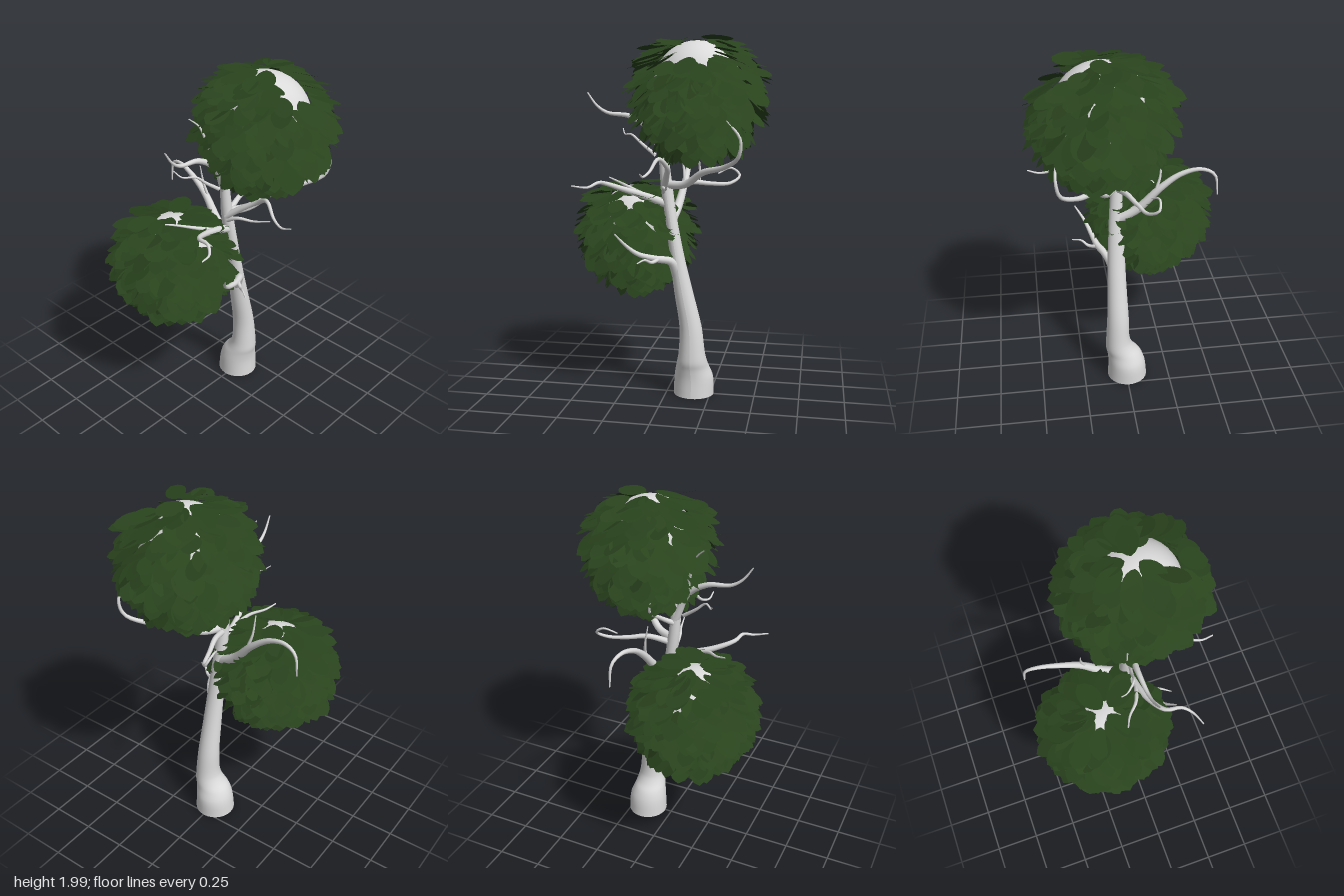
import * as THREE from 'three';
import { mergeGeometries } from 'three/addons/utils/BufferGeometryUtils.js';

const V = (x, y, z) => new THREE.Vector3(x, y, z);

export function createModel() {
  const tree = new THREE.Group();
  const bark = new THREE.MeshStandardMaterial({ color: 0xdadada, side: THREE.DoubleSide });
  bark.name = 'pale bark';
  const green = new THREE.MeshStandardMaterial({ color: 0x29431d, side: THREE.DoubleSide });
  green.name = 'leaf green';

  const add = (name, geometry, material) => {
    const mesh = new THREE.Mesh(geometry, material);
    mesh.name = name;
    tree.add(mesh);
    return mesh;
  };

  let seed = 7;
  const rand = () => (seed = (seed * 16807) % 2147483647) / 2147483647;
  const jitter = (a) => (rand() - 0.5) * 2 * a;

  // Leaning trunk with a swollen foot: y, xMin, xMax, zMin, zMax
  const levels = [
    [0, 0.04, 0.27, -0.122, 0.11], [0.1, 0.045, 0.265, -0.11, 0.105],
    [0.16, 0.055, 0.245, -0.085, 0.11], [0.2, 0.065, 0.235, -0.05, 0.118],
    [0.25, 0.075, 0.225, -0.025, 0.117], [0.4, 0.08, 0.205, -0.018, 0.108],
    [0.6, 0.05, 0.155, -0.01, 0.1], [0.8, 0.025, 0.105, -0.005, 0.092],
    [1.0, 0, 0.065, 0, 0.08], [1.2, -0.03, 0.035, 0, 0.065], [1.42, -0.043, 0.005, 0.01, 0.055],
  ];
  const centres = new THREE.CatmullRomCurve3(levels.map(([y, a, b, c, d]) => V((a + b) / 2, y, (c + d) / 2)));
  const radii = new THREE.CatmullRomCurve3(levels.map(([y, a, b, c, d]) => V((b - a) / 2, y, (d - c) / 2)));
  const trunk = new THREE.CylinderGeometry(1, 1, 1, 28, 40);
  const tp = trunk.attributes.position;
  for (let i = 0; i < tp.count; i++) {
    const t = tp.getY(i) + 0.5;
    const c = centres.getPoint(t), r = radii.getPoint(t);
    tp.setXYZ(i, c.x + tp.getX(i) * r.x, c.y, c.z + tp.getZ(i) * r.z);
  }
  trunk.computeVertexNormals();
  add('trunk', trunk, bark);

  // Tapered tube along a smooth path
  const branch = (name, r0, r1, points) => {
    const curve = new THREE.CatmullRomCurve3(points.map((p) => V(...p)));
    const segs = 28, sides = 10;
    const g = new THREE.TubeGeometry(curve, segs, 1, sides);
    const p = g.attributes.position, v = V(0, 0, 0);
    for (let i = 0; i < p.count; i++) {
      const t = Math.floor(i / (sides + 1)) / segs;
      const c = curve.getPointAt(t);
      v.fromBufferAttribute(p, i).sub(c).multiplyScalar(r0 + (r1 - r0) * t).add(c);
      p.setXYZ(i, v.x, v.y, v.z);
    }
    add(name, g, bark);
  };

  branch('upperCrownBranch', 0.027, 0.015, [[-0.018, 1.38, 0.033], [0.0, 1.47, 0.04], [0.06, 1.55, 0.07], [0.13, 1.62, 0.1]]);
  branch('lowerCrownBranch', 0.028, 0.015, [[0.06, 0.8, 0.045], [-0.02, 0.85, -0.04], [-0.1, 0.88, -0.1], [-0.16, 0.9, -0.14]]);
  branch('highLeftBranch', 0.026, 0.004, [[-0.01, 1.33, 0.03], [-0.08, 1.49, 0.03], [-0.2, 1.57, 0.02], [-0.33, 1.59, 0.025], [-0.39, 1.63, 0.03], [-0.44, 1.7, 0.035]]);
  branch('highLeftTwig', 0.011, 0.003, [[-0.06, 1.36, 0.03], [-0.14, 1.42, 0.01], [-0.2, 1.47, 0], [-0.25, 1.47, -0.05], [-0.27, 1.5, -0.09]]);
  branch('highLeftShoot', 0.012, 0.003, [[-0.08, 1.49, 0.03], [-0.11, 1.62, 0.0], [-0.15, 1.73, -0.02], [-0.2, 1.78, -0.04]]);
  branch('middleLeftBranch', 0.024, 0.004, [[0.01, 1.09, 0.04], [-0.1, 1.13, 0.05], [-0.22, 1.17, 0.08], [-0.32, 1.21, 0.14], [-0.34, 1.22, 0.22], [-0.38, 1.2, 0.27], [-0.46, 1.21, 0.3]]);
  branch('middleLeftTwig', 0.013, 0.004, [[-0.12, 1.14, 0.05], [-0.22, 1.18, 0.01], [-0.29, 1.2, -0.05], [-0.35, 1.22, -0.08]]);
  branch('backBranch', 0.03, 0.004, [[0.03, 1.0, 0.03], [0.05, 1.07, -0.08], [0.07, 1.2, -0.2], [0.075, 1.28, -0.31], [0.09, 1.31, -0.42], [0.105, 1.28, -0.49], [0.11, 1.16, -0.51]]);
  branch('backShoot', 0.009, 0.003, [[0.07, 1.2, -0.18], [0.06, 1.27, -0.2], [0.04, 1.38, -0.205]]);
  branch('lowFrontBranch', 0.028, 0.004, [[0.065, 0.7, 0.06], [0.04, 0.78, 0.1], [-0.03, 0.8, 0.14], [-0.13, 0.83, 0.17], [-0.19, 0.88, 0.2], [-0.24, 0.95, 0.25]]);
  branch('lowFrontTwig', 0.012, 0.003, [[-0.02, 0.8, 0.14], [-0.05, 0.79, 0.19], [-0.08, 0.81, 0.23], [-0.11, 0.8, 0.28]]);
  branch('rightUpperBranch', 0.024, 0.005, [[0.01, 1.2, 0.04], [0.12, 1.21, 0.1], [0.22, 1.28, 0.17], [0.35, 1.32, 0.27], [0.43, 1.38, 0.36], [0.44, 1.47, 0.38], [0.37, 1.56, 0.37]]);
  branch('rightLowerBranch', 0.018, 0.004, [[0.01, 1.18, 0.03], [0.14, 1.21, -0.01], [0.24, 1.2, -0.05], [0.34, 1.2, -0.09], [0.39, 1.24, -0.14], [0.34, 1.28, -0.15], [0.27, 1.25, -0.12]]);
  branch('frontBranch', 0.02, 0.004, [[-0.01, 1.18, 0.04], [0.02, 1.25, 0.13], [0.04, 1.31, 0.22], [0.01, 1.36, 0.31], [-0.02, 1.3, 0.38], [-0.04, 1.28, 0.45], [-0.04, 1.3, 0.51]]);
  branch('frontTwig', 0.012, 0.003, [[-0.01, 1.15, 0.04], [0.0, 1.19, 0.12], [0.03, 1.19, 0.2], [0.05, 1.22, 0.3]]);
  branch('crownBackBranch', 0.016, 0.004, [[-0.015, 1.3, 0.03], [0.04, 1.36, -0.05], [0.06, 1.43, -0.14], [0.04, 1.52, -0.17]]);

  // One broad pointed leaf in the XY plane, base at the origin
  const outline = new THREE.Shape();
  outline.moveTo(0, 0);
  outline.bezierCurveTo(0.26, 0.08, 0.46, 0.55, 0.19, 0.88);
  outline.lineTo(0, 1);
  outline.lineTo(-0.19, 0.88);
  outline.bezierCurveTo(-0.46, 0.55, -0.26, 0.08, 0, 0);
  const leaf = new THREE.ShapeGeometry(outline, 6);

  // Round wooden core covered in overlapping leaves that droop more towards the bottom
  const crown = (name, centre, radius, gap, gapAngle, count) => {
    const leaves = [], up = V(0, 1, 0);
    gap.normalize();
    for (let i = 0; i < count; i++) {
      const y = 1 - 1.96 * (i + 0.5) / count;
      const a = i * 2.39996 + jitter(0.2);
      const s = Math.sqrt(1 - y * y);
      const n = V(s * Math.cos(a), y, s * Math.sin(a));
      if (n.angleTo(gap) < gapAngle) continue;
      const yaw = a + jitter(0.4);
      const out = V(Math.cos(yaw), 0, Math.sin(yaw));
      const pitch = 0.14 + 0.58 * (1 - y) + jitter(0.2);
      const dir = out.clone().multiplyScalar(Math.cos(pitch)).addScaledVector(up, -Math.sin(pitch));
      const side = out.clone().cross(up).applyAxisAngle(dir, jitter(0.35));
      const size = 0.165 + jitter(0.025);
      const m = new THREE.Matrix4().makeBasis(side, dir, side.clone().cross(dir));
      m.scale(V(size, size, size));
      m.setPosition(n.multiply(radius).multiplyScalar(0.99 + jitter(0.03)).add(centre));
      leaves.push(leaf.clone().applyMatrix4(m));
    }
    add(name + 'Leaves', mergeGeometries(leaves), green);
    const core = add(name + 'Core', new THREE.SphereGeometry(1, 32, 20), bark);
    core.scale.copy(radius).multiplyScalar(0.93);
    core.position.copy(centre);
  };
  crown('upperCrown', V(0.185, 1.722, 0.125), V(0.255, 0.265, 0.27), V(0.06, 0.85, 0.52), 0.4, 430);
  crown('lowerCrown', V(-0.215, 0.94, -0.175), V(0.24, 0.25, 0.25), V(0.03, 0.7, 0.7), 0.22, 420);

  return tree;
}
